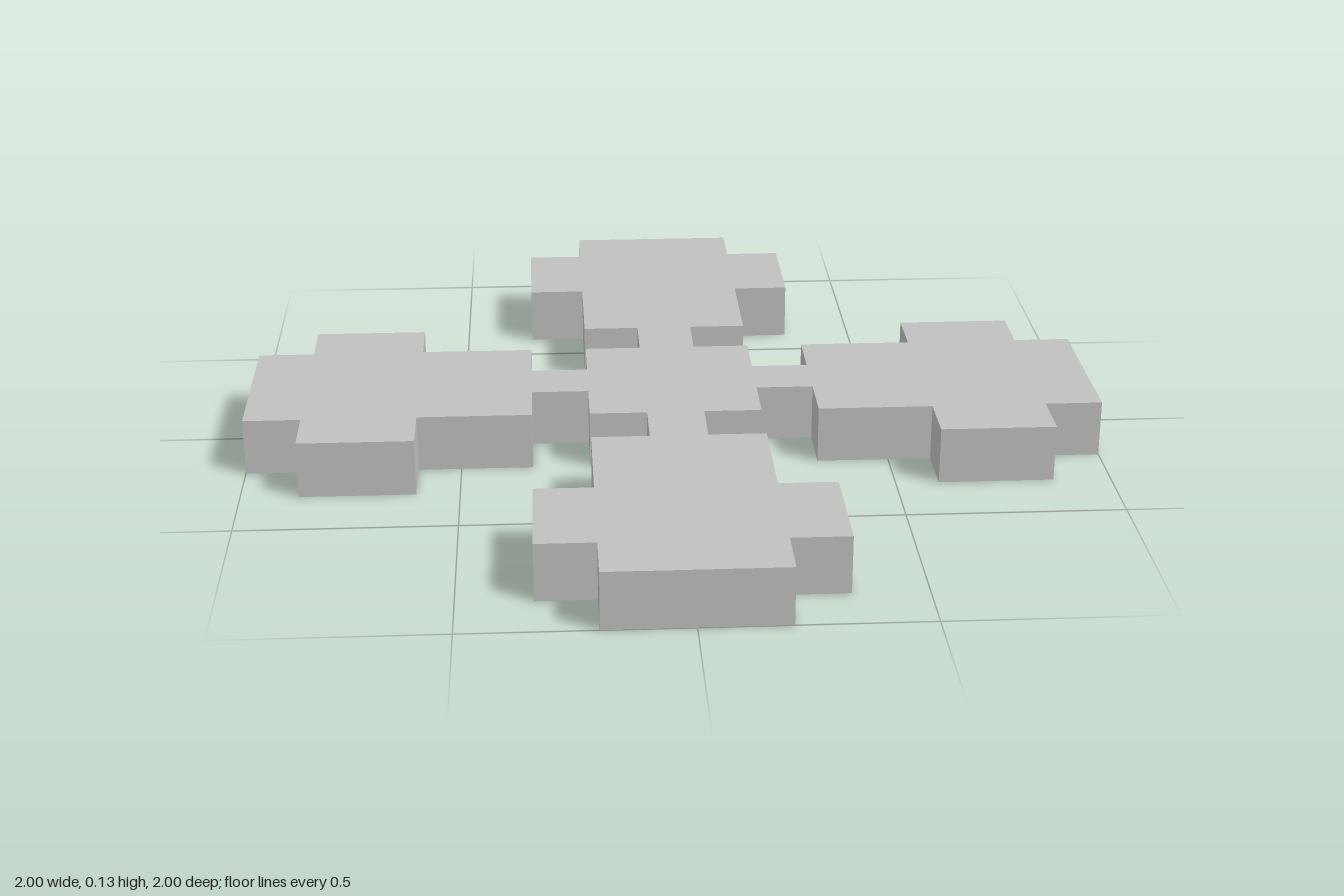
import * as THREE from 'three';

const UNIT = 1 / 15; // every edge lies on this grid
const HEIGHT = 2 * UNIT;

// Outline of one arm, from its neck out to its end and back to the hub corner
const ARM = [
  [3, -1], [5, -1], [5, -3], [9, -3], [9, -5], [13, -5], [13, -3], [15, -3],
  [15, 3], [13, 3], [13, 5], [9, 5], [9, 3], [5, 3], [5, 1], [3, 1], [3, 3],
];

export function createModel() {
  const group = new THREE.Group();
  group.name = 'crossPlate';

  const grey = new THREE.MeshStandardMaterial({ color: 0xc0c0c0 });
  grey.name = 'light grey';

  // Four arms around the hub, each a quarter turn from the last
  const outline = [];
  let arm = ARM.map(([x, y]) => new THREE.Vector2(x * UNIT, y * UNIT));
  for (let i = 0; i < 4; i++) {
    outline.push(...arm);
    arm = arm.map((p) => new THREE.Vector2(-p.y, p.x));
  }

  // One flush slab: hub, necks and arms, laid flat on the ground
  const geometry = new THREE.ExtrudeGeometry(new THREE.Shape(outline), {
    depth: HEIGHT,
    bevelEnabled: false,
  });
  geometry.rotateX(-Math.PI / 2);

  const slab = new THREE.Mesh(geometry, grey);
  slab.name = 'hubWithFourArms';
  group.add(slab);
  return group;
}
